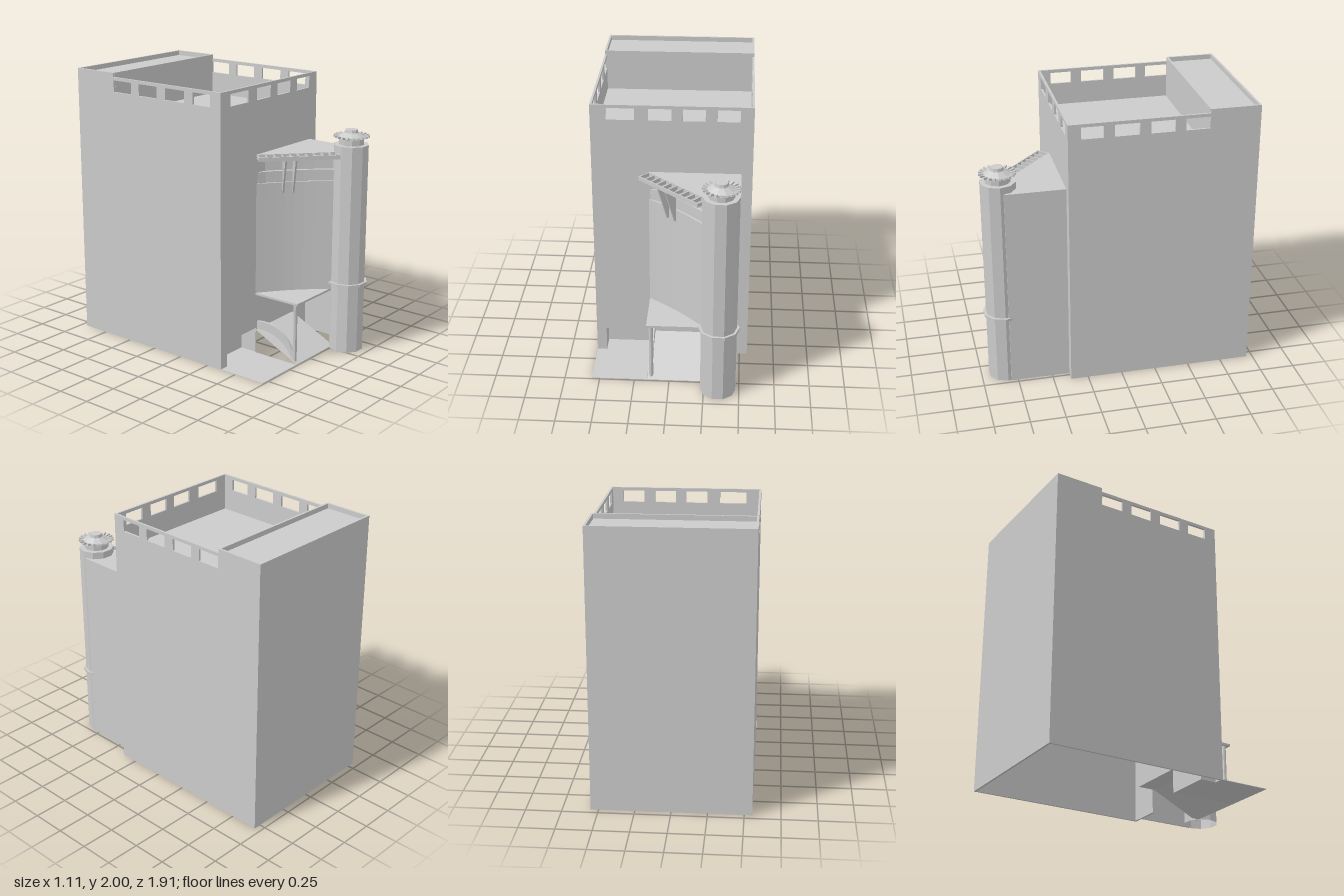
import * as THREE from 'three';

export function createModel() {
  const model = new THREE.Group();
  const mat = new THREE.MeshStandardMaterial({ color: 0xcccccc, flatShading: true, side: THREE.DoubleSide });

  const add = (name, geo, parent = model) => {
    const m = new THREE.Mesh(geo, mat);
    m.name = name;
    parent.add(m);
    return m;
  };
  // box given by its limits
  const box = (name, x0, x1, y0, y1, z0, z1, parent) =>
    add(name, new THREE.BoxGeometry(x1 - x0, y1 - y0, z1 - z0)
      .translate((x0 + x1) / 2, (y0 + y1) / 2, (z0 + z1) / 2), parent);
  const shapeOf = (pts) => new THREE.Shape(pts.map(([a, b]) => new THREE.Vector2(a, b)));
  const extrude = (shape, depth) => new THREE.ExtrudeGeometry(shape, { depth, bevelEnabled: false });
  // upright prism over an x,z outline
  const prism = (name, pts, y0, y1, parent) =>
    add(name, extrude(shapeOf(pts.map(([x, z]) => [x, -z])), y1 - y0)
      .rotateX(-Math.PI / 2).translate(0, y0, 0), parent);
  // wall with a row of openings
  const wallShape = (pts, openings) => {
    const s = shapeOf(pts);
    for (const [a, b] of openings)
      s.holes.push(shapeOf([[a, 1.863], [a, 1.947], [b, 1.947], [b, 1.863]]));
    return s;
  };

  // main block, open underneath
  const W = 0.555, F = 0.375, B = -0.955, T = 0.015, S = -0.605;
  const front = wallShape(
    [[-W, 0], [-0.485, 0], [-0.485, 0.19], [-0.155, 0.19], [-0.155, 0.178], [0.3, 0.178], [0.3, 0],
      [W, 0], [W, 1.97], [-W, 1.97]],
    [[-0.447, -0.253], [-0.16, -0.003], [0.074, 0.228], [0.308, 0.462]]);
  add('frontWall', extrude(front, T).translate(0, 0, F - T));
  const side = wallShape(
    [[B, 0], [F, 0], [F, 1.97], [-0.6, 1.97], [-0.6, 2], [B, 2]],
    [[0.133, 0.285], [-0.113, 0.058], [-0.357, -0.19], [-0.598, -0.43]]);
  for (const [name, x] of [['rightSideWall', W], ['leftSideWall', -W + T]])
    add(name, extrude(side, T).rotateY(-Math.PI / 2).translate(x, 0, 0));
  box('backWall', -W, W, 0, 2, B, B + T);
  box('roofTerrace', -W + T, W - T, 1.69, 1.7, S, F - T);
  box('upperRoof', -W + T, W - T, 1.955, 1.965, B + T, S);
  box('upperRoofWall', -W + T, W - T, 1.69, 2, S - T / 2, S + T / 2);

  // entrance recess and forecourt
  const niche = new THREE.Group();
  niche.name = 'entranceRecess';
  model.add(niche);
  const N = 0.24;
  box('recessBack', -0.485, -0.155, 0, 0.19, N, N + 0.004, niche);
  box('recessCeiling', -0.485, -0.155, 0.19, 0.194, N, F, niche);
  box('recessFloor', -0.485, -0.155, 0, 0.004, N, F, niche);
  for (const x of [-0.489, -0.155]) box('recessSide', x, x + 0.004, 0, 0.19, N, F, niche);
  box('forecourt', -W, -0.16, 0, 0.004, F, 0.742);

  // ramp under the balcony, with its inner landing
  const rampProfile = shapeOf([[0.742, 0], [F, 0.176], [N, 0.176], [N, 0.18], [F, 0.18], [0.742, 0.004]]);
  add('ramp', extrude(rampProfile, 0.455).rotateY(-Math.PI / 2).translate(0.3, 0, 0));

  // annex with a gently hollowed diagonal front
  const diagonal = (inset, bow) => {
    const pts = [];
    for (let i = 0; i <= 8; i++) {
      const t = i / 8, d = inset + bow * Math.sin(Math.PI * t);
      pts.push([-0.16 + 0.41 * t + d * 0.67, F + 0.375 * t - d * 0.74]);
    }
    pts[0][1] = F;
    return [...pts, [0.3, 0.8], [0.472, 0.8], [0.472, F]];
  };
  prism('annexBody', diagonal(0, 0.02), 0.46, 1.27);
  prism('annexUpperBand', diagonal(0.015, 0.02), 1.27, 1.35);
  prism('annexTopBand', diagonal(0.04, 0.02), 1.35, 1.45);
  prism('annexRoof', diagonal(0, 0), 1.45, 1.48);
  box('annexSideWall', 0.465, 0.478, 0, 1.48, F, 0.8);
  prism('balconyFloor', [[-0.16, F], [0.475, F], [0.475, 0.742], [-0.16, 0.742]], 0.447, 0.462);

  // post and arched strut beside the ramp
  add('balconyPost', new THREE.CylinderGeometry(0.015, 0.015, 0.44, 8).translate(-0.13, 0.23, 0.705));
  const strut = new THREE.Shape();
  strut.moveTo(0.715, 0.02);
  strut.quadraticCurveTo(0.64, 0.28, F, 0.24);
  strut.lineTo(F, 0.18);
  strut.quadraticCurveTo(0.6, 0.2, 0.69, 0.02);
  add('balconyStrut', extrude(strut, 0.018).rotateY(-Math.PI / 2).translate(-0.121, 0, 0));

  // open ladder-like canopy along the diagonal
  const canopy = new THREE.Group();
  canopy.name = 'canopy';
  canopy.position.set(-0.19, 0, 0.41);
  canopy.rotation.y = -Math.atan2(0.38, 0.41);
  model.add(canopy);
  const L = 0.57;
  for (const z of [-0.05, 0.042]) box('canopyRail', 0, L, 1.45, 1.48, z, z + 0.008, canopy);
  for (let i = 0; i <= 10; i++) {
    const x = i * (L - 0.008) / 10;
    box('canopyRung', x, x + 0.008, 1.452, 1.478, -0.045, 0.045, canopy);
  }
  const bracket = shapeOf([[0.05, 1.45], [-0.05, 1.45], [-0.05, 1.2], [-0.038, 1.2]]);
  for (const x of [0.195, 0.268])
    add('canopyBracket', extrude(bracket, 0.012).rotateY(-Math.PI / 2).translate(x, 0, 0), canopy);

  // ten-sided tower, hollow from below
  const tower = new THREE.Group();
  tower.name = 'tower';
  tower.position.set(0.35, 0, 0.822);
  model.add(tower);
  const drum = (name, rTop, rBottom, y0, y1, open = false) =>
    add(name, new THREE.CylinderGeometry(rTop, rBottom, y1 - y0, 10, 1, open)
      .rotateY(Math.PI / 10).translate(0, (y0 + y1) / 2, 0), tower);
  drum('towerShaft', 0.125, 0.125, 0, 1.53, true);
  drum('towerTop', 0.125, 0.125, 1.526, 1.53);
  drum('towerBand', 0.143, 0.143, 0.503, 0.523);
  drum('lanternDrum', 0.09, 0.09, 1.53, 1.59);
  drum('lanternRoof', 0.05, 0.1, 1.585, 1.613);
  drum('lanternCap', 0.044, 0.048, 1.613, 1.635);
  // crown of small projecting plates
  for (let i = 0; i < 20; i++) {
    const plate = add('crownPlate', new THREE.BoxGeometry(0.016, 0.014, 0.045)
      .rotateX(-0.25).translate(0, 1.585, 0.105), tower);
    plate.rotation.y = (i * Math.PI) / 10;
  }

  return model;
}
